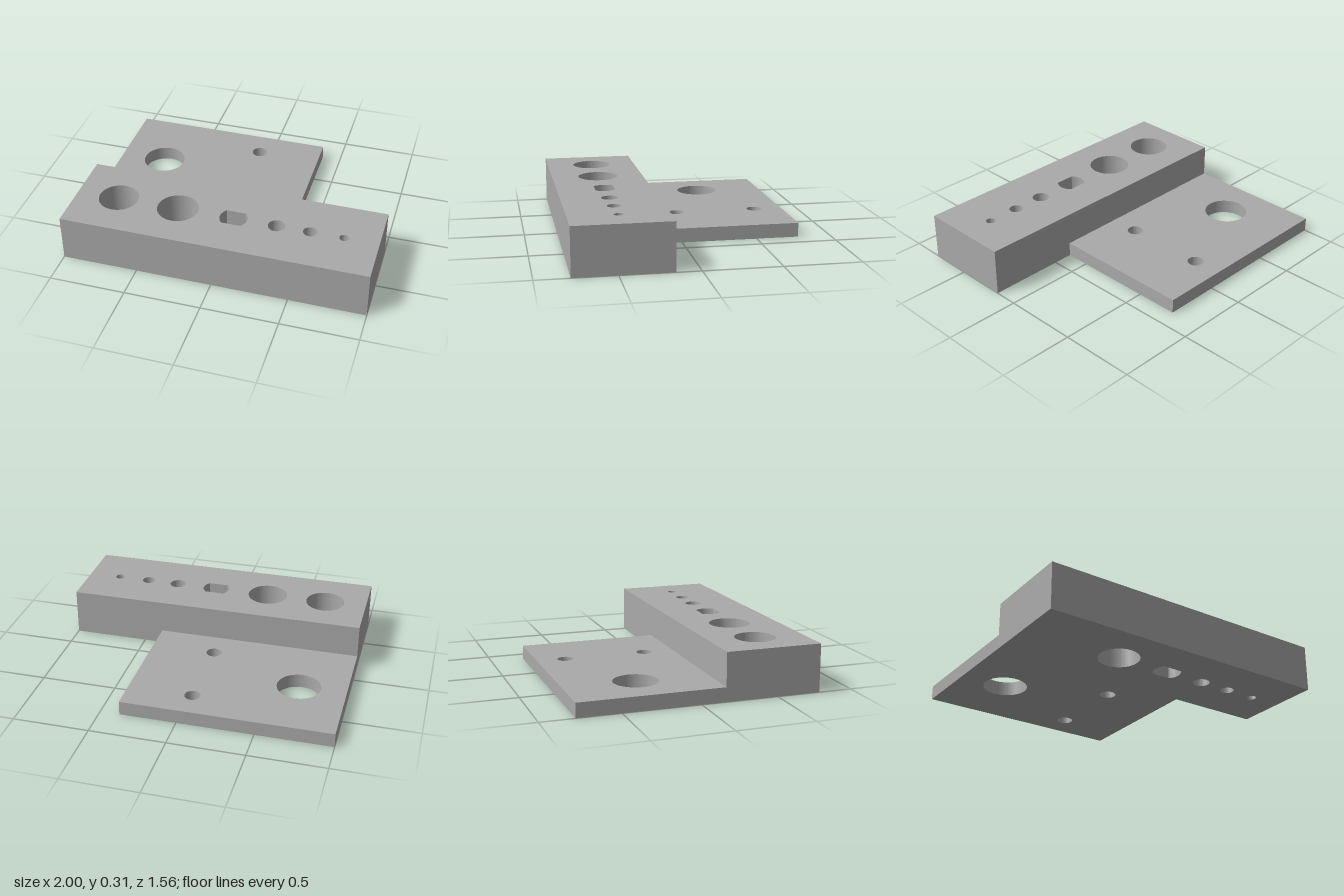
import * as THREE from 'three';
import { toCreasedNormals } from 'three/addons/utils/BufferGeometryUtils.js';

const SEGMENTS = 48;
const STEP_Z = 0.156; // line where block and plate meet
const HOLE_Z = 0.466; // centre line of the block's holes

// Outlines are drawn in plan, with shape y = -z
function rectangle(x0, x1, z0, z1) {
  return new THREE.Shape([[x0, -z1], [x1, -z1], [x1, -z0], [x0, -z0]].map(([x, y]) => new THREE.Vector2(x, y)));
}

function roundHole(x, z, r) {
  return new THREE.Path().absarc(x, -z, r, 0, Math.PI * 2, true);
}

// Round hole with two flats parallel to x
function flattedHole(x, z, r, halfWidth) {
  const a = Math.asin(halfWidth / r);
  const path = new THREE.Path();
  path.absarc(x, -z, r, a, -a, true);
  path.absarc(x, -z, r, Math.PI + a, Math.PI - a, true);
  path.closePath();
  return path;
}

function slab(name, outline, holes, height, material) {
  outline.holes.push(...holes);
  const geometry = new THREE.ExtrudeGeometry(outline, { depth: height, bevelEnabled: false, curveSegments: SEGMENTS });
  geometry.rotateX(-Math.PI / 2);
  const mesh = new THREE.Mesh(toCreasedNormals(geometry, Math.PI / 6), material);
  mesh.name = name;
  return mesh;
}

export function createModel() {
  const group = new THREE.Group();
  group.name = 'drilledStepBlock';
  const grey = new THREE.MeshStandardMaterial({ color: 0xaaaaaa });
  grey.name = 'grey';

  // Tall block with a row of holes of falling size
  const rowHoles = [[-0.719, 0.131], [-0.313, 0.135], [0.342, 0.055], [0.56, 0.045], [0.777, 0.031]]
    .map(([x, r]) => roundHole(x, HOLE_Z, r));
  rowHoles.push(flattedHole(0.06, HOLE_Z, 0.091, 0.065));
  group.add(slab('block', rectangle(-1, 1, STEP_Z, 0.781), rowHoles, 0.3125, grey));

  // Floor that closes the first hole at the bottom
  const floor = slab('blindHoleFloor', new THREE.Shape().absarc(-0.719, -HOLE_Z, 0.131, 0, Math.PI * 2), [], 0.0625, grey);
  group.add(floor);

  // Thin plate behind the block
  const plateHoles = [[-0.69, -0.315, 0.143], [-0.056, -0.59, 0.052], [-0.056, -0.043, 0.052]]
    .map(([x, z, r]) => roundHole(x, z, r));
  group.add(slab('plate', rectangle(-1, 0.372, -0.781, STEP_Z), plateHoles, 0.094, grey));

  return group;
}
